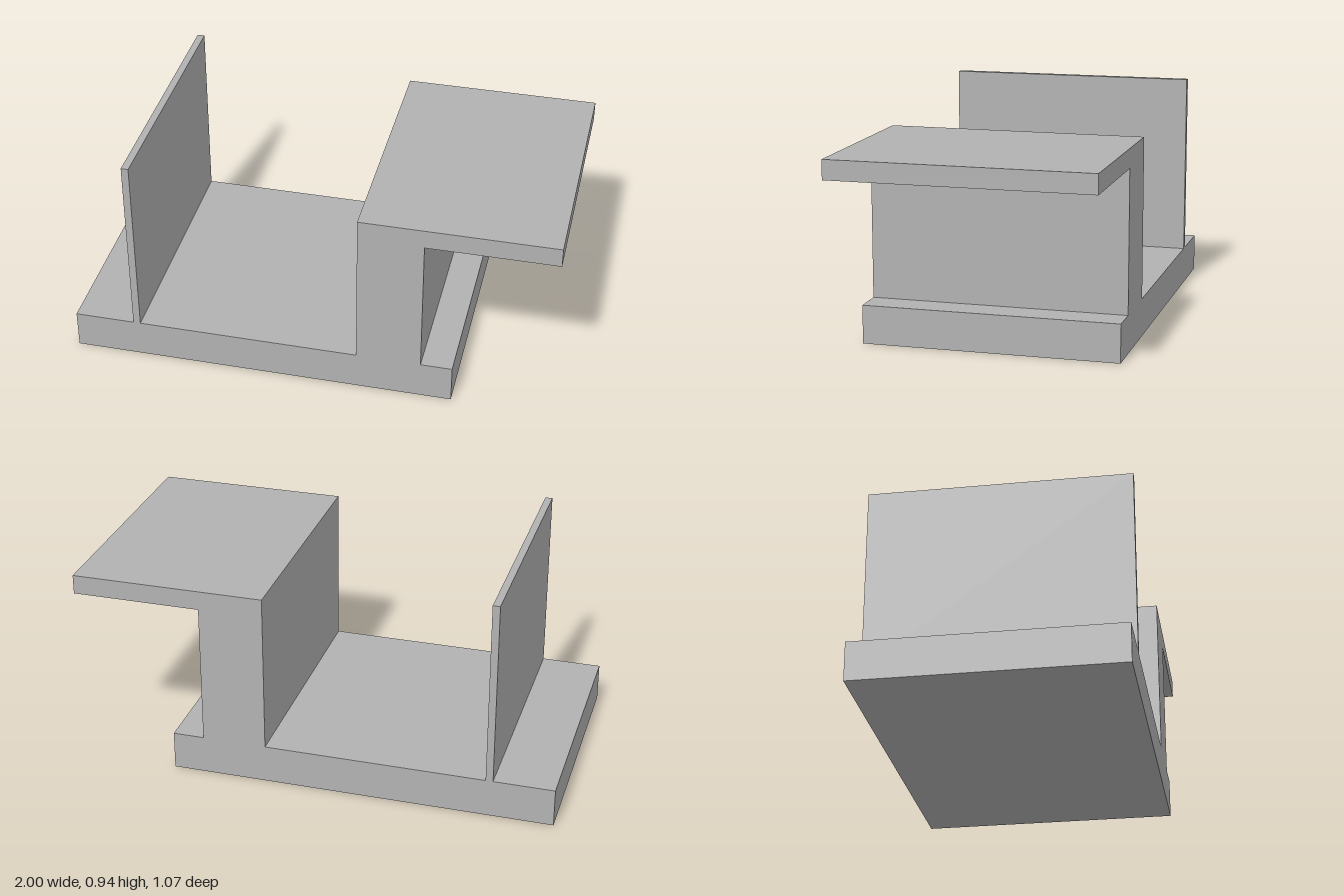
import * as THREE from 'three';

const DEPTH = 1.066;

export function createModel() {
  const grey = new THREE.MeshStandardMaterial({ color: 0xb2b2b2 });
  grey.name = 'grey';

  // One continuous cross-section, counter-clockwise from the lower left corner
  const profile = new THREE.Shape([
    [-1, 0], [0.597, 0], [0.597, 0.16],         // base
    [0.467, 0.16], [0.467, 0.75],               // right side of the upright block
    [1, 0.75], [1, 0.83], [0.2, 0.83],          // overhanging shelf
    [0.2, 0.16],                                // left side of the upright block
    [-0.72, 0.16], [-0.72, 0.935],              // thin standing plate
    [-0.75, 0.935], [-0.75, 0.16], [-1, 0.16],
  ].map(([x, y]) => new THREE.Vector2(x, y)));

  const geometry = new THREE.ExtrudeGeometry(profile, { depth: DEPTH, bevelEnabled: false });
  geometry.translate(0, 0, -DEPTH / 2);

  const bracket = new THREE.Mesh(geometry, grey);
  bracket.name = 'bracket';

  const model = new THREE.Group();
  model.name = 'extrudedBracket';
  model.add(bracket);
  return model;
}
